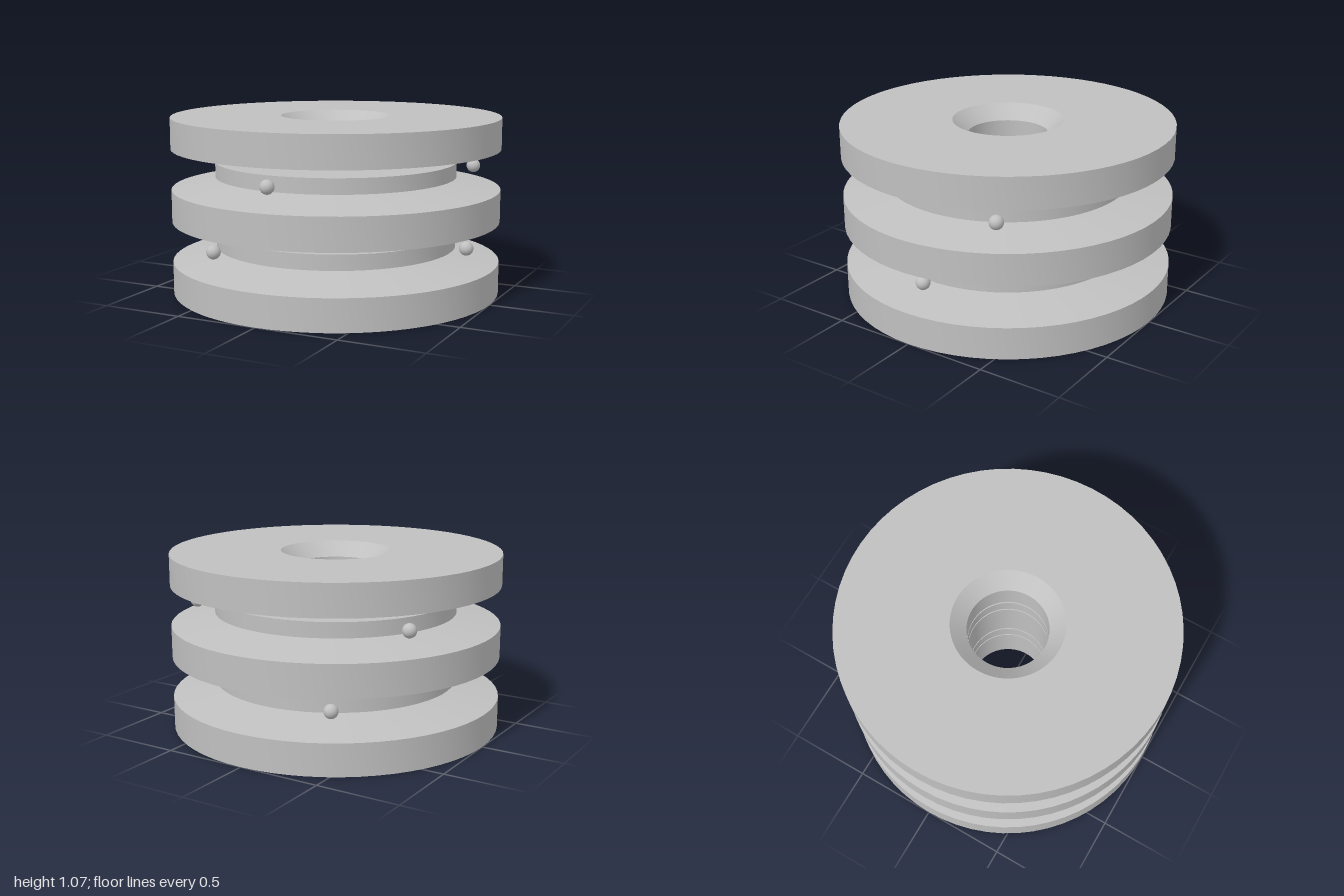
import * as THREE from 'three';
import { toCreasedNormals } from 'three/addons/utils/BufferGeometryUtils.js';

const BORE = 0.24;

export function createModel() {
  const model = new THREE.Group();
  model.name = 'thrustBearing';
  const steel = new THREE.MeshStandardMaterial({ color: 0xc0c0c0 });
  steel.name = 'steel';

  // Closed ring turned from a counterclockwise (radius, height) section
  function turned(name, section) {
    const points = [...section, section[0]].map(([r, y]) => new THREE.Vector2(r, y));
    const geometry = toCreasedNormals(new THREE.LatheGeometry(points, 64), 0.12);
    const mesh = new THREE.Mesh(geometry, steel);
    mesh.name = name;
    model.add(mesh);
  }

  // Three washers with shallow conical races
  turned('lowerWasher', [[BORE, 0], [1, 0], [1, 0.193], [0.52, 0.264], [BORE, 0.264]]);
  turned('middleWasher', [
    [BORE, 0.384], [0.59, 0.384], [1, 0.44], [1, 0.635], [0.59, 0.69], [BORE, 0.69],
  ]);
  turned('upperWasher', [
    [BORE, 0.813], [0.53, 0.813], [1, 0.88], [1, 1.07], [0.333, 1.07], [BORE, 0.983],
  ]);

  // Flat cage rings in the two gaps
  turned('lowerCage', [[BORE, 0.277], [0.735, 0.277], [0.735, 0.37], [BORE, 0.37]]);
  turned('upperCage', [[BORE, 0.705], [0.735, 0.705], [0.735, 0.797], [BORE, 0.797]]);

  // Three balls around each cage, the upper set turned a quarter
  const ball = new THREE.SphereGeometry(0.042, 24, 16);
  for (const [name, y, start] of [['lowerBall', 0.324, 0], ['upperBall', 0.753, Math.PI / 2]]) {
    for (let i = 0; i < 3; i++) {
      const a = start + (i * Math.PI * 2) / 3;
      const mesh = new THREE.Mesh(ball, steel);
      mesh.name = name + (i + 1);
      mesh.position.set(0.85 * Math.cos(a), y, 0.85 * Math.sin(a));
      model.add(mesh);
    }
  }
  return model;
}
